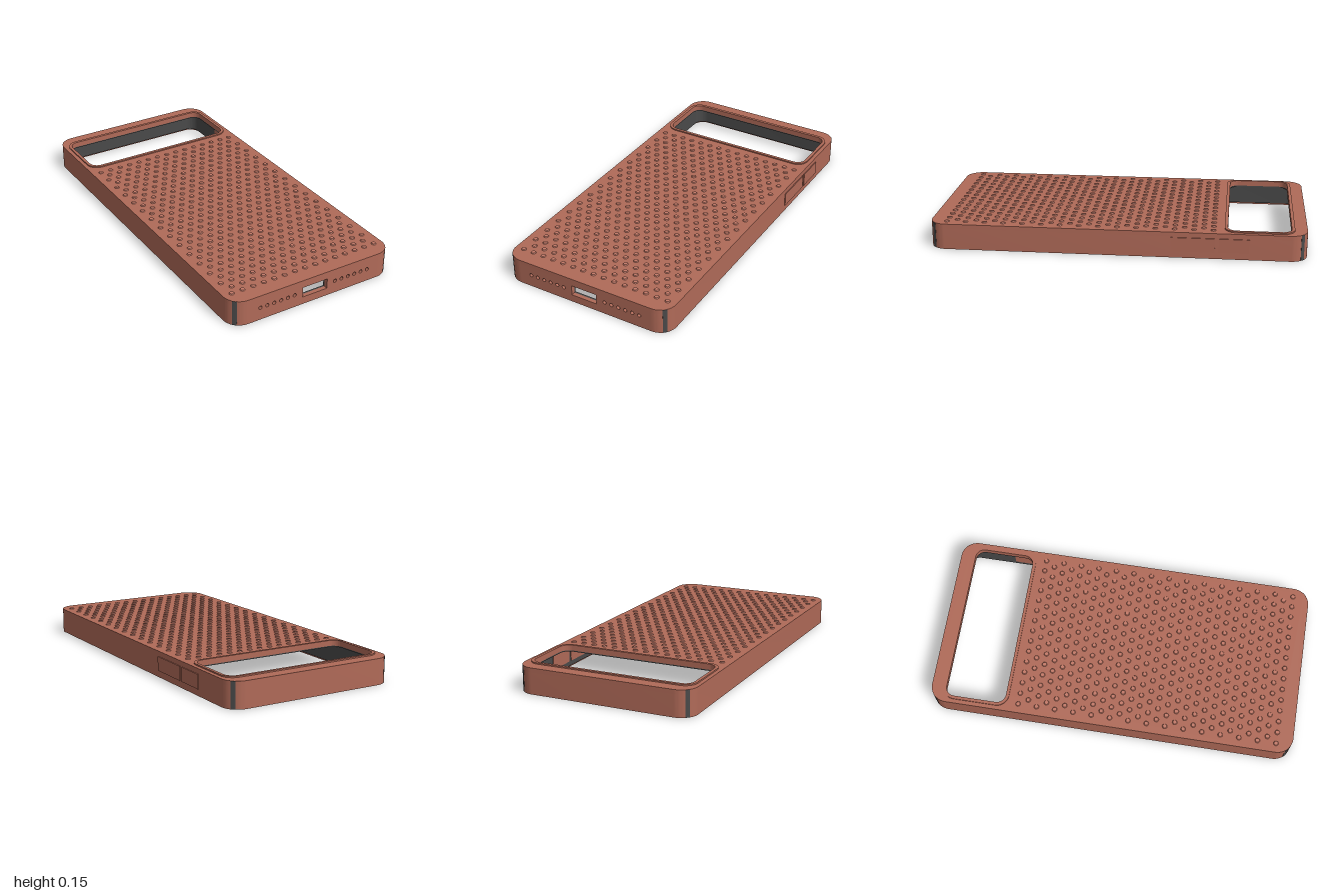
import * as THREE from 'three';
import { mergeGeometries, toCreasedNormals } from 'three/addons/utils/BufferGeometryUtils.js';

const CX = -0.004, HX = 0.484, HZ = 1, R = 0.09; // case outline
const WALL = 0.022, LINER = 0.01, PLATE_Y = 0.117, TOP = 0.14;

const paint = (color) => new THREE.MeshStandardMaterial({ color });
const shellMat = paint(0xb06a58);
const linerMat = paint(0x4a4a4a);
const bumpMat = paint(0xc47a68);

// Rounded rectangle in plan; plan v equals -z
function roundRect(x0, x1, v0, v1, r, Type = THREE.Shape) {
  const s = new Type();
  s.absarc(x1 - r, v0 + r, r, -Math.PI / 2, 0);
  s.absarc(x1 - r, v1 - r, r, 0, Math.PI / 2);
  s.absarc(x0 + r, v1 - r, r, Math.PI / 2, Math.PI);
  s.absarc(x0 + r, v0 + r, r, Math.PI, Math.PI * 1.5);
  s.closePath();
  return s;
}

// Extrude a plan shape upward from y0 to y1
function slab(shape, y0, y1) {
  const g = new THREE.ExtrudeGeometry(shape, { depth: y1 - y0, bevelEnabled: false, curveSegments: 10 });
  g.rotateX(-Math.PI / 2).translate(0, y0, 0);
  return toCreasedNormals(g, 0.5);
}

// Wall round three sides and four corners, open along the straight front
function openWall(inset, t) {
  const s = new THREE.Shape(), cx = HX - R, cz = HZ - R, ro = R - inset, ri = ro - t, q = Math.PI / 2;
  const corners = [[cx, -cz, -q], [cx, cz, 0], [-cx, cz, q], [-cx, -cz, 2 * q]];
  corners.forEach(([x, v, a]) => s.absarc(x + CX, v, ro, a, a + q, false));
  corners.reverse().forEach(([x, v, a]) => s.absarc(x + CX, v, ri, a + q, a, true));
  s.closePath();
  return s;
}

// Straight front wall pierced by the port and speaker holes
function frontPanel(y0, y1, inset, t) {
  const w = HX - R, s = new THREE.Shape();
  s.moveTo(CX - w, y0).lineTo(CX + w, y0).lineTo(CX + w, y1).lineTo(CX - w, y1).closePath();
  const port = new THREE.Path();
  port.moveTo(CX - 0.074, 0.042).lineTo(CX - 0.074, 0.098).lineTo(CX + 0.074, 0.098).lineTo(CX + 0.074, 0.042).closePath();
  s.holes.push(port);
  for (const side of [-1, 1]) {
    for (let i = 0; i < 6; i++) {
      const hole = new THREE.Path();
      hole.absarc(CX + side * (0.123 + i * 0.0405), 0.07, 0.01, 0, Math.PI * 2, true);
      s.holes.push(hole);
    }
  }
  const g = new THREE.ExtrudeGeometry(s, { depth: t, bevelEnabled: false, curveSegments: 8 });
  g.translate(0, 0, HZ - inset - t);
  return toCreasedNormals(g, 0.9);
}

export function createModel() {
  const group = new THREE.Group();
  const add = (name, geometry, material) => {
    const m = new THREE.Mesh(geometry, material);
    m.name = name;
    group.add(m);
    return m;
  };
  const cameraHole = () => roundRect(-0.449, 0.441, 0.585, 0.917, 0.05, THREE.Path);

  // Outer shell
  add('shellWall', slab(openWall(0, WALL), 0, PLATE_Y), shellMat);
  add('shellFront', frontPanel(0, PLATE_Y, 0, WALL), shellMat);
  const plate = roundRect(CX - HX, CX + HX, -HZ, HZ, R);
  plate.holes.push(cameraHole());
  add('backPlate', slab(plate, PLATE_Y, TOP), shellMat);

  // Dark inner liner
  add('linerWall', slab(openWall(WALL, LINER), 0.01, PLATE_Y), linerMat);
  add('linerFront', frontPanel(0.01, PLATE_Y, WALL, LINER), linerMat);
  const lining = roundRect(CX - HX + WALL, CX + HX - WALL, -HZ + WALL, HZ - WALL, R - WALL);
  lining.holes.push(cameraHole());
  add('linerPlate', slab(lining, PLATE_Y - 0.006, PLATE_Y), linerMat);

  // Raised camera frame with a stepped outer edge
  const step = roundRect(-0.466, 0.458, 0.568, 0.934, 0.067);
  step.holes.push(cameraHole());
  add('cameraFrame', slab(step, TOP, 0.147), shellMat);

  // Dark strips down the four corners
  for (const sx of [-1, 1]) {
    for (const sv of [-1, 1]) {
      const mid = Math.atan2(sv, sx), half = 0.13, s = new THREE.Shape();
      const x = CX + sx * (HX - R), v = sv * (HZ - R);
      s.absarc(x, v, R + 0.001, mid - half, mid + half, false);
      s.absarc(x, v, R - 0.004, mid + half, mid - half, true);
      s.closePath();
      add('cornerStrip', slab(s, 0.0005, TOP - 0.0005), linerMat);
    }
  }

  // Side buttons, passing through the wall
  for (const [z0, z1] of [[-0.7, -0.538], [-0.52, -0.29]]) {
    const g = new THREE.BoxGeometry(0.04, 0.076, z1 - z0);
    add('sideButton', g.translate(0.465, 0.074, (z0 + z1) / 2), shellMat);
  }

  // Staggered grip bumps on the back
  const bumps = [];
  for (let row = 0; row < 29; row++) {
    const odd = row % 2;
    for (let i = 0; i < 15 - odd; i++) {
      const g = new THREE.CylinderGeometry(0.011, 0.014, 0.005, 12);
      bumps.push(g.translate(CX - 0.434 + (i + odd / 2) * 0.062, TOP + 0.0025, -0.51 + row * 0.0507));
    }
  }
  add('gripBumps', mergeGeometries(bumps), bumpMat);
  return group;
}
